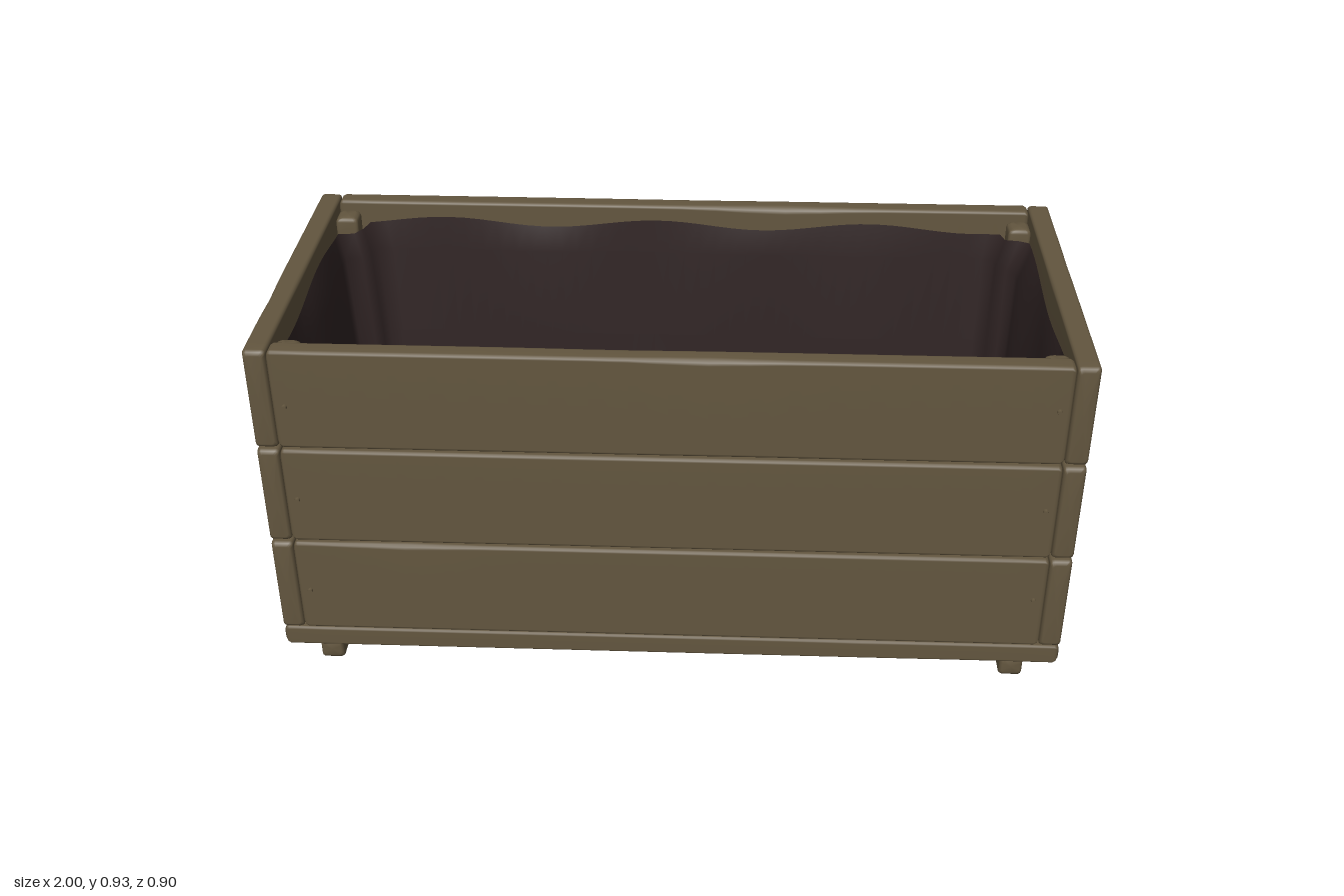
import * as THREE from 'three';

const wood = new THREE.MeshStandardMaterial({ color: 0x63563f });
wood.name = 'weathered wood';
const cloth = new THREE.MeshStandardMaterial({ color: 0x302424, side: THREE.DoubleSide });
cloth.name = 'dark liner cloth';

function seeded(seed) {
  let s = seed;
  return () => (s = (s * 16807) % 2147483647) / 2147483647;
}

// Smooth surface through closed rings of equal size, with a fan at each capped end
function loft(rings, capStart, capEnd) {
  const n = rings[0].length, pos = rings.flat(2), index = [];
  for (let i = 0; i < rings.length - 1; i++) {
    for (let j = 0; j < n; j++) {
      const a = i * n + j, b = i * n + (j + 1) % n;
      index.push(a, a + n, b, b, a + n, b + n);
    }
  }
  const cap = (ring, start, flip) => {
    const c = pos.length / 3;
    pos.push(...[0, 1, 2].map((k) => ring.reduce((sum, p) => sum + p[k], 0) / n));
    for (let j = 0; j < n; j++) {
      const a = start + j, b = start + (j + 1) % n;
      index.push(c, flip ? b : a, flip ? a : b);
    }
  };
  if (capStart) cap(rings[0], 0, false);
  if (capEnd) cap(rings[rings.length - 1], (rings.length - 1) * n, true);
  const geo = new THREE.BufferGeometry();
  geo.setAttribute('position', new THREE.Float32BufferAttribute(pos, 3));
  geo.setIndex(index);
  geo.computeVertexNormals();
  return geo;
}

// Plank along x with worn edges: the corner radius grows around a few chips
function plankGeometry(length, height, depth, seed, round = 0.009) {
  const rand = seeded(seed * 7919 + 13);
  const chips = [0, 1, 2, 3].map(() => ({
    at: rand() * 1.6 - 0.8, width: 0.08 + rand() * 0.12, size: rand() * 0.012,
  }));
  const end = 0.012, rings = [];
  const stations = [[-1, end], [-1 + 0.8 * end / length, end * 0.3], [-1 + 2 * end / length, 0]];
  for (let i = 1; i < 20; i++) stations.push([-1 + i / 10, 0]);
  stations.push([1 - 2 * end / length, 0], [1 - 0.8 * end / length, end * 0.3], [1, end]);
  for (const [t, inset] of stations) {
    const ring = [];
    chips.forEach((chip, c) => {
      const r = round + chip.size * Math.exp(-(((t - chip.at) / chip.width) ** 2));
      const sz = c === 0 || c === 3 ? 1 : -1, sy = c < 2 ? 1 : -1;
      for (let k = 0; k < 4; k++) {
        const a = c * Math.PI / 2 + k * Math.PI / 6;
        ring.push([
          t * length / 2,
          sy * (height / 2 - r - inset) + r * Math.sin(a),
          sz * (depth / 2 - r - inset * 0.6) + r * Math.cos(a),
        ]);
      }
    });
    rings.push(ring);
  }
  return loft(rings, true, true);
}

// Cloth liner: a bag notched around the corner posts, with soft folds
function linerGeometry() {
  const quarter = [[0.927, 0.31], [0.87, 0.322], [0.86, 0.384]];
  const flipped = quarter.slice().reverse();
  const outline = [
    ...quarter,
    ...flipped.map(([x, z]) => [-x, z]),
    ...quarter.map(([x, z]) => [-x, -z]),
    ...flipped.map(([x, z]) => [x, -z]),
  ].map(([x, z]) => new THREE.Vector2(x, z));
  const shape = new THREE.Shape(outline);
  shape.closePath();
  const points = shape.getSpacedPoints(120).slice(0, -1);
  const levels = [[0.885, 1, 1], [0.8, 0.99, 0.98], [0.55, 0.98, 0.95],
    [0.3, 0.975, 0.92], [0.16, 0.97, 0.9], [0.13, 0.95, 0.87]];
  const rings = levels.map(([y, sx, sz], i) => points.map((p, j) => {
    const u = j / points.length * Math.PI * 2;
    const fold = i === 0 ? 0 : 0.008 * (Math.sin(u * 7 + y * 4) + Math.sin(u * 11)) - 0.008;
    const rim = i === 0 ? 0.012 * Math.sin(u * 9 + 1) - 0.006 : 0;
    return [p.x * (sx + fold), y + rim, p.y * (sz + fold)];
  }));
  return loft(rings, false, true);
}

export function createModel() {
  const group = new THREE.Group();
  const add = (name, geo, material, x, y, z) => {
    const mesh = new THREE.Mesh(geo, material);
    mesh.name = name;
    mesh.position.set(x, y, z);
    group.add(mesh);
    return mesh;
  };
  let seed = 1;

  // Three rows of wall boards with nails
  const nailGeo = new THREE.CylinderGeometry(0.006, 0.007, 0.012, 8);
  [0.251, 0.5245, 0.7975].forEach((y, row) => {
    for (const s of [1, -1]) {
      add(s > 0 ? 'frontBoard' : 'backBoard',
        plankGeometry(1.872, 0.266, 0.05, seed++), wood, 0, y, s * 0.416);
      const endBoard = add(s > 0 ? 'leftEndBoard' : 'rightEndBoard',
        plankGeometry(0.888, 0.266, 0.055, seed++), wood, s * 0.9635, y, 0);
      endBoard.rotation.y = s * Math.PI / 2;
      for (const e of [1, -1]) {
        const drop = [0.012, 0.008, 0.016][row] * e;
        add('sideNail', nailGeo, wood, e * 0.907, y + drop, s * 0.443).rotation.x = s * Math.PI / 2;
        add('endNail', nailGeo, wood, s * 0.993, y - drop, e * 0.36).rotation.z = -s * Math.PI / 2;
      }
    }
  });

  // Base slats
  [0.298, 0.002, -0.293].forEach((z) =>
    add('baseSlat', plankGeometry(1.98, 0.055, 0.284, seed++, 0.007), wood, 0, 0.0885, z));

  for (const s of [1, -1]) {
    // Foot rails under the slats
    const foot = add('footRail', plankGeometry(0.842, 0.062, 0.06, seed++), wood, s * 0.878, 0.031, 0);
    foot.rotation.y = Math.PI / 2;
    // Corner posts
    for (const e of [1, -1]) {
      const post = add('cornerPost', plankGeometry(0.79, 0.06, 0.06, seed++), wood, s * 0.906, 0.51, e * 0.361);
      post.rotation.z = Math.PI / 2;
    }
  }

  add('liner', linerGeometry(), cloth, 0, 0, 0);
  return group;
}
